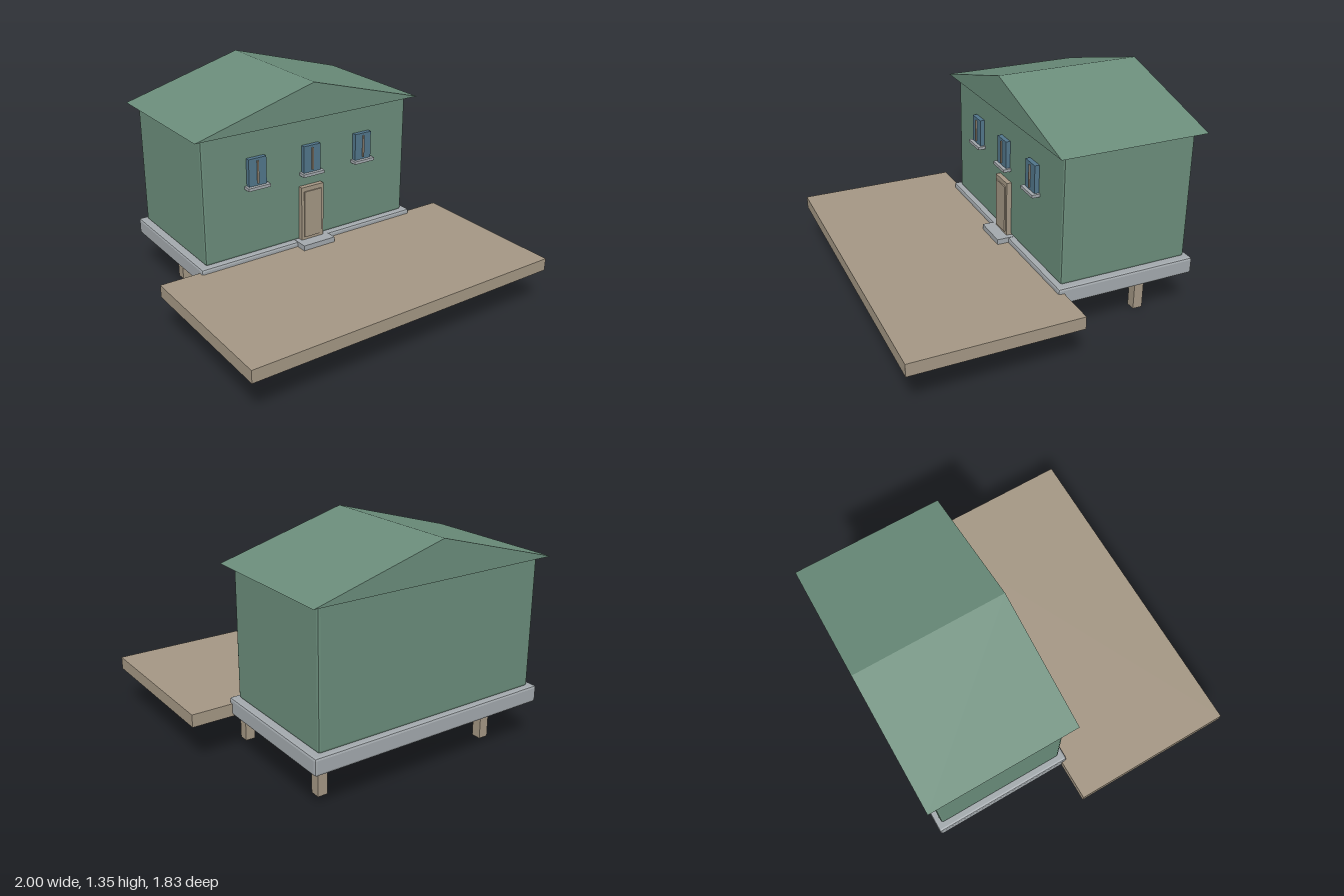
import * as THREE from 'three';
import { RoundedBoxGeometry } from 'three/addons/geometries/RoundedBoxGeometry.js';

const material = (name, color) => {
  const m = new THREE.MeshStandardMaterial({ color });
  m.name = name;
  return m;
};

export function createModel() {
  const green = material('green paint', 0x6a8c7a);
  const wood = material('wood', 0xa39683);
  const stone = material('grey stone', 0xa2a8ac);
  const blue = material('blue glass', 0x51758a);

  const house = new THREE.Group();
  house.name = 'house';

  const add = (parent, name, geometry, mat) => {
    const mesh = new THREE.Mesh(geometry, mat);
    mesh.name = name;
    parent.add(mesh);
    return mesh;
  };

  // Box given by its ranges on each axis, with optional chamfered edges
  const box = (parent, name, mat, [x0, x1], [y0, y1], [z0, z1], chamfer = 0) => {
    const size = [x1 - x0, y1 - y0, z1 - z0];
    const geometry = chamfer
      ? new RoundedBoxGeometry(...size, 1, chamfer)
      : new THREE.BoxGeometry(...size);
    geometry.computeVertexNormals();
    geometry.translate((x0 + x1) / 2, (y0 + y1) / 2, (z0 + z1) / 2);
    return add(parent, name, geometry, mat);
  };

  // Deck, foundation and walls
  box(house, 'deck', wood, [-1, 1], [0.26, 0.335], [-0.073, 0.915]);
  box(house, 'foundation', stone, [-0.755, 0.755], [0.265, 0.365], [-0.902, -0.04], 0.014);
  box(house, 'walls', green, [-0.712, 0.712], [0.363, 1.135], [-0.869, -0.073], 0.014);

  // Gabled roof
  const gable = new THREE.Shape([
    new THREE.Vector2(-0.765, 1.13),
    new THREE.Vector2(0.765, 1.13),
    new THREE.Vector2(0, 1.345),
  ]);
  const roof = new THREE.ExtrudeGeometry(gable, { depth: 0.892, bevelEnabled: false });
  roof.translate(0, 0, -0.916);
  add(house, 'roof', roof, green);

  // Legs
  for (const x of [-0.57, 0.57]) {
    for (const z of [0.1, -0.66]) {
      box(house, 'leg', wood, [x - 0.03, x + 0.03], [0, 0.266], [z - 0.03, z + 0.03]);
    }
  }

  // Door with raised panel, and its step
  const door = new THREE.Group();
  door.name = 'door';
  house.add(door);
  box(door, 'doorFrame', wood, [-0.078, 0.078], [0.36, 0.708], [-0.08, -0.043]);
  box(door, 'doorPanel', wood, [-0.06, 0.06], [0.385, 0.68], [-0.045, -0.036]);
  box(house, 'doorStep', stone, [-0.11, 0.11], [0.335, 0.367], [-0.07, 0.03]);

  // Three windows
  for (const x of [-0.372, 0, 0.372]) {
    const win = new THREE.Group();
    win.name = 'window';
    win.position.x = x;
    house.add(win);
    box(win, 'windowPane', blue, [-0.058, 0.058], [0.795, 0.962], [-0.08, -0.045]);
    box(win, 'windowBar', wood, [-0.005, 0.005], [0.81, 0.947], [-0.046, -0.037]);
    box(win, 'windowSill', stone, [-0.073, 0.073], [0.778, 0.796], [-0.075, -0.024]);
  }

  return house;
}
